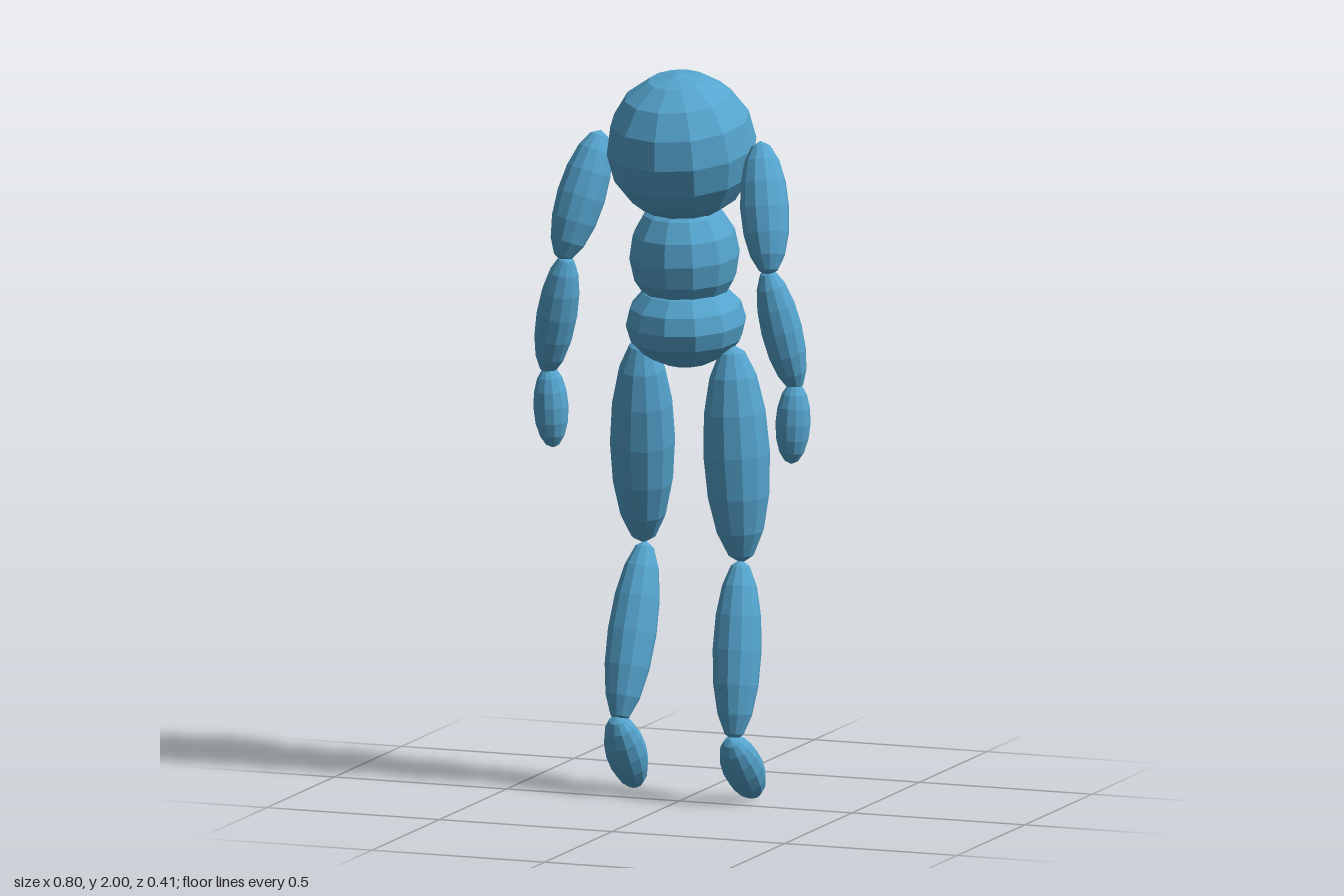
import * as THREE from 'three';

const blue = new THREE.MeshStandardMaterial({ color: 0x55a5cf, flatShading: true });
blue.name = 'blue';

// One faceted ball is shared by every body part
const ball = new THREE.SphereGeometry(1, 12, 8);
const UP = new THREE.Vector3(0, 1, 0);

// Torso ball, leaning forward by tilt
function blob(name, center, radii, tilt) {
  const m = new THREE.Mesh(ball, blue);
  m.name = name;
  m.position.set(...center);
  m.scale.set(...radii);
  m.rotation.x = tilt;
  return m;
}

// Long ellipsoid whose tips are at points a (upper) and b (lower)
function limb(name, a, b, radius) {
  const top = new THREE.Vector3(...a), bottom = new THREE.Vector3(...b);
  const axis = top.clone().sub(bottom);
  const m = new THREE.Mesh(ball, blue);
  m.name = name;
  m.position.copy(top).add(bottom).multiplyScalar(0.5);
  m.scale.set(radius, axis.length() / 2, radius);
  m.quaternion.setFromUnitVectors(UP, axis.normalize());
  return m;
}

export function createModel() {
  const model = new THREE.Group();
  model.name = 'figure';

  // Torso
  model.add(
    blob('chest', [0.008, 1.797, 0.005], [0.205, 0.207, 0.205], 0.19),
    blob('waist', [0.005, 1.495, -0.025], [0.151, 0.165, 0.151], 0.1),
    blob('hips', [0.006, 1.31, -0.033], [0.165, 0.122, 0.163], 0.1),
  );

  // Limbs: name, upper tip, lower tip, radius
  const parts = [
    // Left arm
    ['leftUpperArm', [0.24, 1.827, 0.012], [0.3, 1.477, 0.106], 0.067],
    ['leftForearm', [0.29, 1.495, 0.098], [0.355, 1.153, 0.038], 0.056],
    ['leftHand', [0.352, 1.18, 0.046], [0.34, 0.953, 0.041], 0.048],
    // Right arm
    ['rightUpperArm', [-0.222, 1.827, 0.012], [-0.302, 1.477, 0.102], 0.067],
    ['rightForearm', [-0.288, 1.495, 0.098], [-0.367, 1.153, 0.042], 0.056],
    ['rightHand', [-0.36, 1.178, 0.046], [-0.35, 0.953, 0.041], 0.048],
    // Left leg
    ['leftThigh', [0.138, 1.257, -0.033], [0.158, 0.652, -0.058], 0.091],
    ['leftCalf', [0.155, 0.664, -0.056], [0.17, 0.18, 0.032], 0.067],
    ['leftFoot', [0.168, 0.188, 0.053], [0.17, 0.008, -0.127], 0.056],
    // Right leg
    ['rightThigh', [-0.122, 1.257, -0.03], [-0.167, 0.67, -0.163], 0.089],
    ['rightCalf', [-0.16, 0.678, -0.16], [-0.178, 0.2, -0.005], 0.067],
    ['rightFoot', [-0.18, 0.22, 0.01], [-0.175, 0.01, -0.128], 0.056],
  ];
  for (const p of parts) model.add(limb(...p));

  return model;
}
